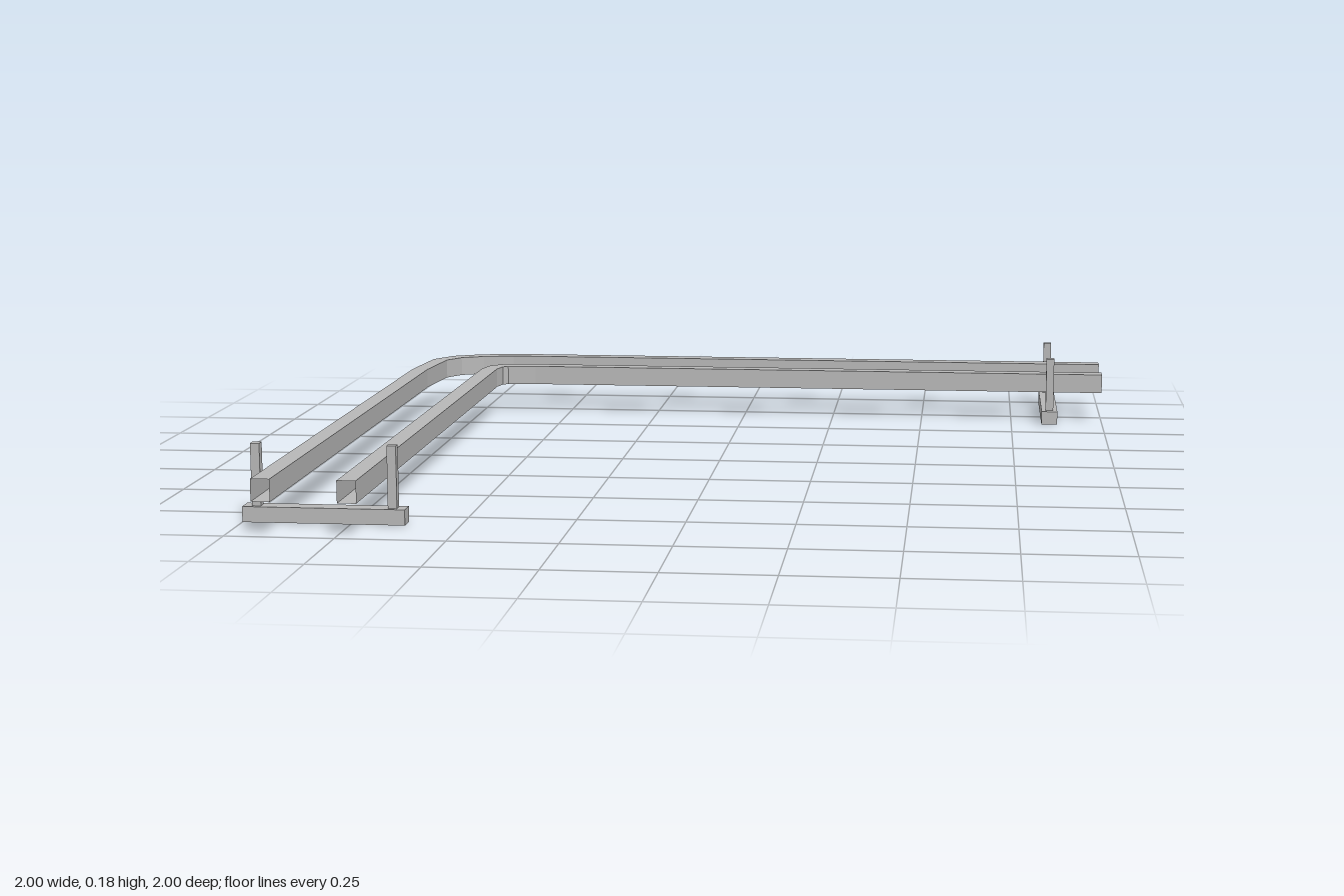
import * as THREE from 'three';

// Open square tube swept along a flat path of [x, z] points, with mitred corners
function sweepTube(path, width, y0, y1) {
  const pts = path.map(([x, z]) => new THREE.Vector2(x, z));
  const sections = pts.map((p, i) => {
    const before = pts[Math.max(i - 1, 0)], after = pts[Math.min(i + 1, pts.length - 1)];
    const a = (i ? p.clone().sub(before) : after.clone().sub(p)).normalize();
    const b = (i < pts.length - 1 ? after.clone().sub(p) : a.clone()).normalize();
    const t = a.clone().add(b).normalize();
    const h = width / 2 / t.dot(a);
    const sx = -t.y * h, sz = t.x * h;
    return [
      [p.x + sx, y0, p.y + sz], [p.x + sx, y1, p.y + sz],
      [p.x - sx, y1, p.y - sz], [p.x - sx, y0, p.y - sz],
    ];
  });
  const pos = [];
  for (let i = 0; i < sections.length - 1; i++) {
    for (let j = 0; j < 4; j++) {
      const k = (j + 1) % 4, s = sections[i], e = sections[i + 1];
      pos.push(...s[j], ...e[j], ...e[k], ...s[j], ...e[k], ...s[k]);
    }
  }
  const geo = new THREE.BufferGeometry();
  geo.setAttribute('position', new THREE.Float32BufferAttribute(pos, 3));
  geo.computeVertexNormals();
  return geo;
}

export function createModel() {
  const group = new THREE.Group();
  const metal = new THREE.MeshStandardMaterial({ color: 0xb8b8b8, side: THREE.DoubleSide });
  metal.name = 'grey metal';

  const add = (parent, name, geo, x = 0, y = 0, z = 0) => {
    const mesh = new THREE.Mesh(geo, metal);
    mesh.name = name;
    mesh.position.set(x, y, z);
    parent.add(mesh);
  };

  // Two bent pipes running side by side
  const outer = [[-0.914, 1], [-0.914, -0.61], [-0.896, -0.80], [-0.857, -0.86],
    [-0.79, -0.894], [-0.70, -0.912], [-0.61, -0.914], [1, -0.914]];
  const inner = [[-0.72, 1], [-0.72, -0.64], [-0.709, -0.69], [-0.685, -0.711],
    [-0.60, -0.72], [1, -0.72]];
  add(group, 'outerPipe', sweepTube(outer, 0.043, 0.079, 0.13));
  add(group, 'innerPipe', sweepTube(inner, 0.043, 0.079, 0.13));

  // Hanger: a cross bar below the pipes with a rod at each end
  const hanger = (name) => {
    const h = new THREE.Group();
    h.name = name;
    add(h, 'crossBar', new THREE.BoxGeometry(0.375, 0.036, 0.043), 0, 0.018, 0);
    for (const side of [-1, 1]) {
      add(h, 'hangerRod', new THREE.BoxGeometry(0.021, 0.144, 0.021), side * 0.157, 0.108, 0);
    }
    group.add(h);
    return h;
  };
  hanger('frontHanger').position.set(-0.8125, 0, 0.831);
  const back = hanger('backHanger');
  back.position.set(0.855, 0, -0.8125);
  back.rotation.y = Math.PI / 2;

  return group;
}
